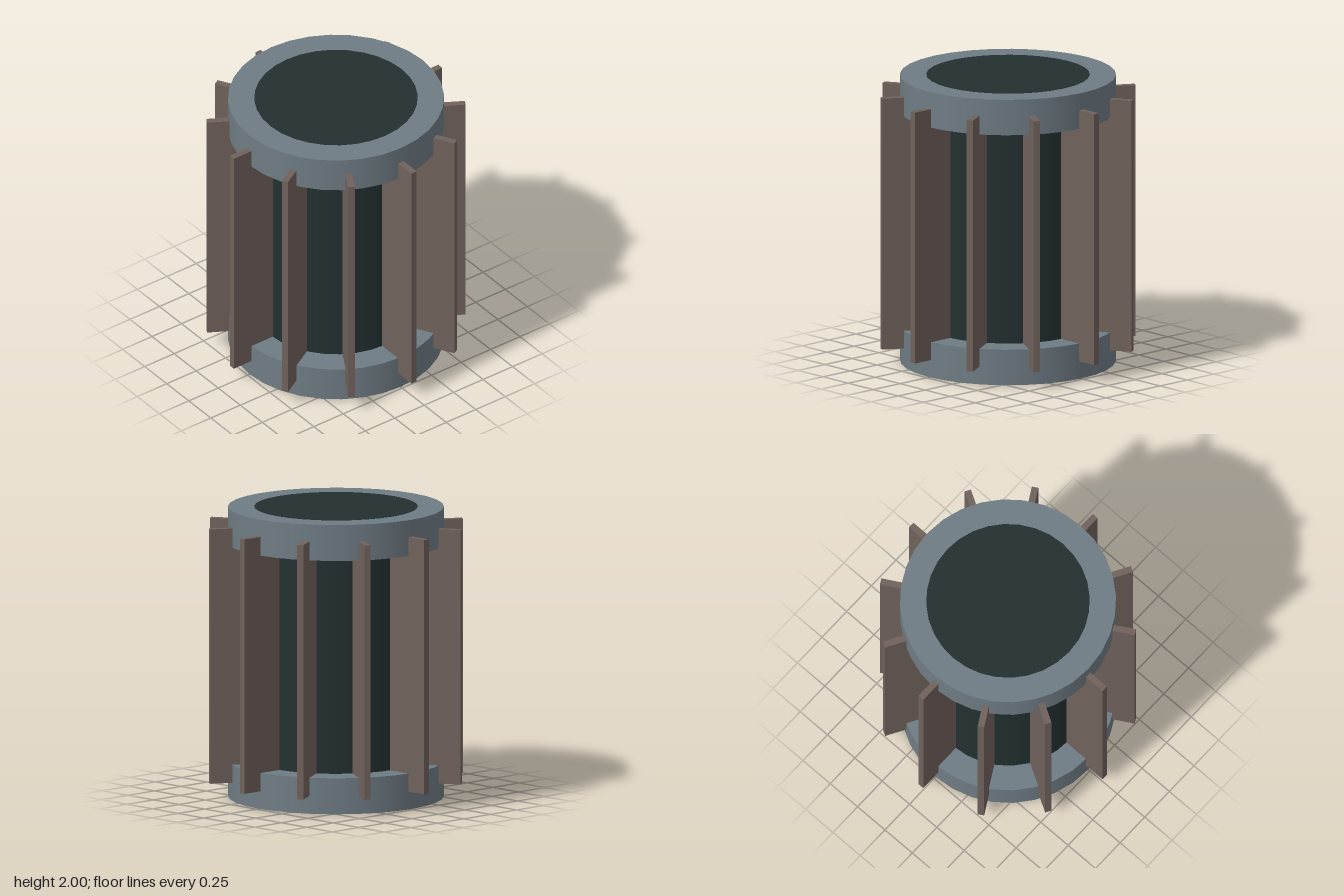
import * as THREE from 'three';

export function createModel() {
  const model = new THREE.Group();
  const capMat = new THREE.MeshStandardMaterial({ name: 'slate grey', color: 0x6f7c84 });
  const coreMat = new THREE.MeshStandardMaterial({ name: 'dark green', color: 0x233030 });
  const finMat = new THREE.MeshStandardMaterial({ name: 'dull brown', color: 0x70625c });

  const add = (name, geometry, material, y) => {
    const mesh = new THREE.Mesh(geometry, material);
    mesh.name = name;
    mesh.position.y = y;
    model.add(mesh);
    return mesh;
  };

  // Core, a hair taller than the caps so its ends show cleanly
  add('core', new THREE.CylinderGeometry(0.556, 0.556, 2, 32), coreMat, 1);

  // End caps
  const capGeo = new THREE.CylinderGeometry(0.735, 0.735, 0.248, 32);
  add('bottomCap', capGeo, capMat, 0.126);
  add('topCap', capGeo, capMat, 1.874);

  // Twelve radial cooling fins, rooted just inside the core
  const finGeo = new THREE.BoxGeometry(0.045, 1.755, 0.355).translate(0, 0, 0.7075);
  for (let i = 0; i < 12; i++) {
    add(`fin${i + 1}`, finGeo, finMat, 1.0025).rotation.y = (i * Math.PI) / 6;
  }
  return model;
}
